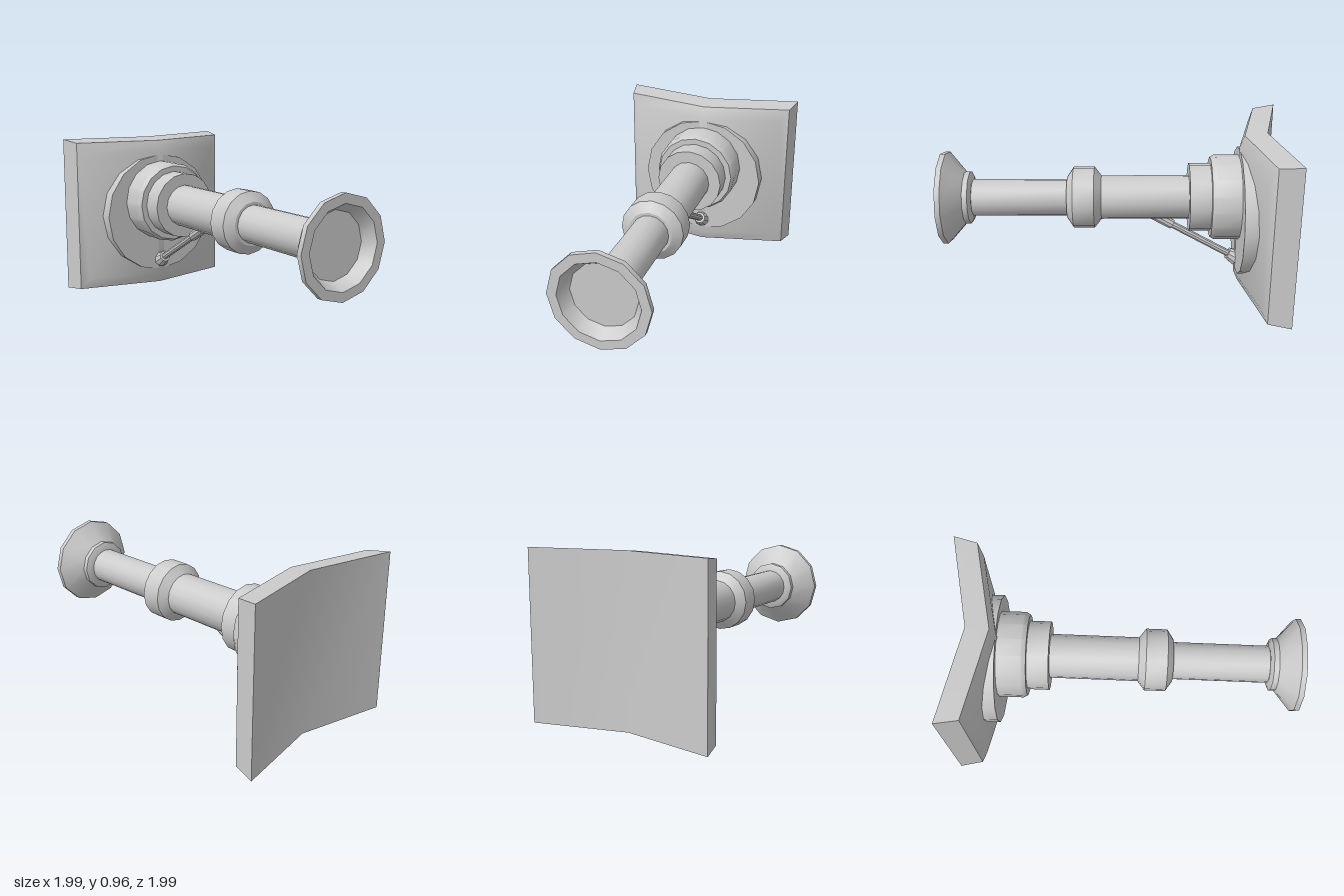
import * as THREE from 'three';
import { toCreasedNormals } from 'three/addons/utils/BufferGeometryUtils.js';

const AXIS_Y = 0.57;
const material = new THREE.MeshStandardMaterial({ color: 0xcccccc });

function part(parent, name, geometry) {
  const mesh = new THREE.Mesh(toCreasedNormals(geometry, 0.6), material);
  mesh.name = name;
  parent.add(mesh);
  return mesh;
}

// Turned part along +z; profile is [radius, z] from back to front.
function turned(parent, name, profile, y = AXIS_Y, sides = 16) {
  const points = profile.map(([r, z]) => new THREE.Vector2(r, z));
  const geometry = new THREE.LatheGeometry(points, sides).rotateX(Math.PI / 2);
  part(parent, name, geometry).position.y = y;
}

// Round rod between two points, with separate end radii.
function rod(parent, name, a, b, rA, rB) {
  const dir = b.clone().sub(a);
  const mesh = part(parent, name, new THREE.CylinderGeometry(rB, rA, dir.length(), 10));
  mesh.position.copy(a).add(b).multiplyScalar(0.5);
  mesh.quaternion.setFromUnitVectors(new THREE.Vector3(0, 1, 0), dir.normalize());
}

// Folded plate: three outlines stacked from back to front, bevelled at the rim.
function plateGeometry() {
  const layers = [
    { w: 0.548, bottom: 0, top: 0.965, mid: -0.75, end: -0.866 },
    { w: 0.52, bottom: 0.015, top: 0.95, mid: -0.62, end: -0.732 },
    { w: 0.475, bottom: 0.08, top: 0.88, mid: -0.592, end: -0.7 },
  ];
  const positions = [];
  for (const { w, bottom, top, mid, end } of layers) {
    positions.push(-w, bottom, end, 0, bottom, mid, w, bottom, end);
    positions.push(w, top, end, 0, top, mid, -w, top, end);
  }
  const index = [];
  const quad = (a, b, c, d) => index.push(a, b, c, a, c, d);
  for (let layer = 0; layer < 2; layer++) {
    for (let i = 0; i < 6; i++) {
      const a = layer * 6 + i;
      const b = layer * 6 + ((i + 1) % 6);
      quad(a, b, b + 6, a + 6);
    }
  }
  quad(5, 4, 1, 0);
  quad(4, 3, 2, 1);
  quad(12, 13, 16, 17);
  quad(13, 14, 15, 16);
  const geometry = new THREE.BufferGeometry();
  geometry.setAttribute('position', new THREE.Float32BufferAttribute(positions, 3));
  geometry.setIndex(index);
  geometry.computeVertexNormals();
  return geometry;
}

export function createModel() {
  const model = new THREE.Group();
  model.name = 'wallMountedArm';

  // Everything is built along z, then turned to point diagonally.
  const arm = new THREE.Group();
  arm.name = 'arm';
  arm.rotation.y = Math.PI / 4;
  model.add(arm);

  // Base
  part(arm, 'backPlate', plateGeometry());
  turned(arm, 'baseDisc', [[0, -0.7], [0.378, -0.7], [0.378, -0.597], [0, -0.597]], 0.484);
  turned(arm, 'largeHub', [[0, -0.65], [0.25, -0.65], [0.25, -0.455], [0.235, -0.43], [0, -0.43]]);
  turned(arm, 'smallHub', [[0, -0.45], [0.2, -0.45], [0.2, -0.306], [0, -0.306]]);

  // Telescoping tubes and the collar joining them
  turned(arm, 'rearTube', [[0, -0.32], [0.128, -0.32], [0.128, 0.23], [0, 0.23]]);
  turned(arm, 'collar', [[0, 0.205], [0.128, 0.205], [0.18, 0.245], [0.18, 0.367], [0.125, 0.404], [0, 0.404]]);
  turned(arm, 'frontTube', [[0, 0.38], [0.108, 0.38], [0.108, 0.98], [0, 0.98]]);

  // Flared end with a recessed face
  turned(arm, 'flaredCup', [
    [0, 0.955], [0.125, 0.955], [0.155, 0.97], [0.155, 1.0], [0.272, 1.1],
    [0.272, 1.13], [0.22, 1.13], [0.18, 1.06], [0, 1.06],
  ], AXIS_Y, 12);

  // Diagonal brace under the arm
  const foot = new THREE.Vector3(0, 0.18, -0.585);
  const head = new THREE.Vector3(0, 0.445, -0.12);
  const along = (t) => foot.clone().lerp(head, t);
  rod(arm, 'braceRod', foot, head, 0.021, 0.021);
  rod(arm, 'braceSocket', along(-0.04), along(0.07), 0.05, 0.035);
  rod(arm, 'braceTip', along(0.8), along(1.04), 0.03, 0.03);

  return model;
}
